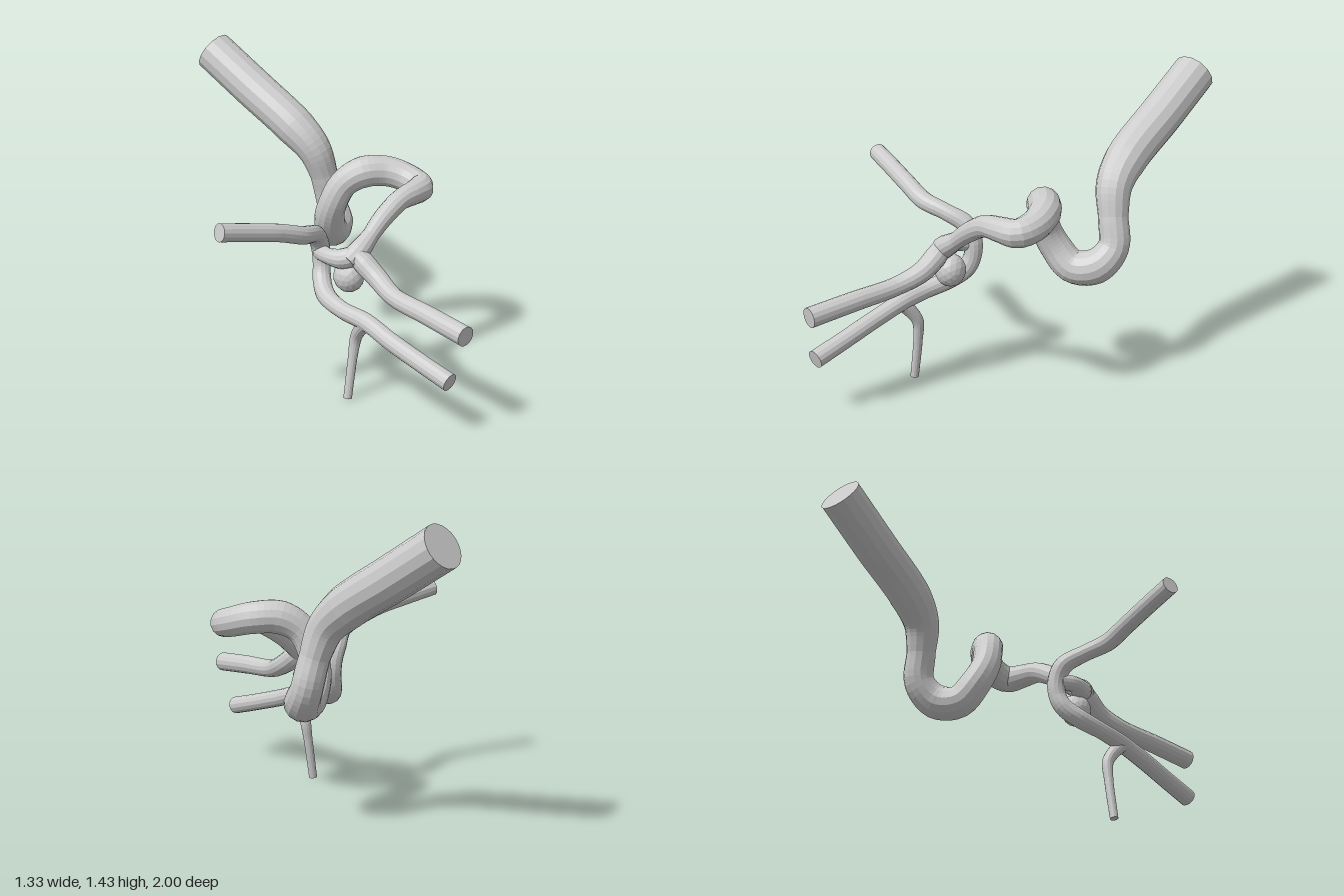
import * as THREE from 'three';

const material = new THREE.MeshStandardMaterial({ color: 0xcccccc, flatShading: true });

// Vessel swept through [x, y, z, radius] stations, with flat end caps.
function vessel(name, stations, segments, sides = 14) {
  const group = new THREE.Group();
  group.name = name;
  const curve = new THREE.CatmullRomCurve3(
    stations.map(([x, y, z]) => new THREE.Vector3(x, y, z)), false, 'centripetal');
  const last = stations.length - 1;
  const radiusAt = (t) => {
    const i = Math.min(Math.floor(t * last), last - 1);
    return THREE.MathUtils.lerp(stations[i][3], stations[i + 1][3], t * last - i);
  };

  const geometry = new THREE.TubeGeometry(curve, segments, 1, sides, false);
  const pos = geometry.attributes.position;
  const v = new THREE.Vector3();
  for (let i = 0; i <= segments; i++) {
    const u = i / segments;
    const centre = curve.getPointAt(u);
    const r = radiusAt(curve.getUtoTmapping(u));
    for (let j = 0; j <= sides; j++) {
      const k = i * (sides + 1) + j;
      v.fromBufferAttribute(pos, k).sub(centre).multiplyScalar(r).add(centre);
      pos.setXYZ(k, v.x, v.y, v.z);
    }
  }
  geometry.computeVertexNormals();
  const wall = new THREE.Mesh(geometry, material);
  wall.name = name + 'Wall';
  group.add(wall);

  for (const u of [0, 1]) {
    const cap = new THREE.Mesh(new THREE.CircleGeometry(stations[u * last][3], 24), material);
    cap.name = name + 'Cap';
    const outward = curve.getTangentAt(u).multiplyScalar(u ? 1 : -1);
    cap.quaternion.setFromUnitVectors(new THREE.Vector3(0, 0, 1), outward);
    cap.position.copy(curve.getPointAt(u));
    group.add(cap);
  }
  return group;
}

export function createModel() {
  const model = new THREE.Group();
  model.name = 'vesselTree';

  // Wide inlet, double bend and tapering run to the junction
  model.add(vessel('mainVessel', [
    [0.515, 1.34, -0.94, 0.103], [0.515, 1.19, -0.69, 0.103], [0.515, 1.03, -0.42, 0.1],
    [0.53, 0.93, -0.315, 0.085], [0.56, 0.8, -0.275, 0.07], [0.585, 0.66, -0.25, 0.073],
    [0.54, 0.575, -0.18, 0.083], [0.44, 0.565, -0.13, 0.08], [0.365, 0.65, -0.1, 0.075],
    [0.335, 0.75, -0.06, 0.07], [0.36, 0.86, -0.01, 0.07], [0.42, 0.915, 0.06, 0.078],
    [0.5, 0.915, 0.15, 0.075], [0.53, 0.89, 0.25, 0.07], [0.505, 0.87, 0.335, 0.066],
    [0.42, 0.87, 0.35, 0.058], [0.32, 0.86, 0.34, 0.05], [0.2, 0.795, 0.32, 0.046],
    [0.12, 0.735, 0.31, 0.04], [0.03, 0.675, 0.3, 0.055], [-0.01, 0.64, 0.28, 0.045],
  ], 110));

  // Upper forward branch
  model.add(vessel('upperFrontBranch', [
    [0.02, 0.68, 0.29, 0.045], [0.02, 0.635, 0.35, 0.052], [0.01, 0.585, 0.43, 0.048],
    [-0.035, 0.54, 0.55, 0.043], [-0.085, 0.52, 0.77, 0.046], [-0.135, 0.498, 0.995, 0.047],
  ], 40));

  // Side arm that curls down behind the junction and runs forward again
  model.add(vessel('sideAndLowerBranch', [
    [-0.655, 0.927, 0.038, 0.042], [-0.5, 0.892, 0.09, 0.042], [-0.35, 0.855, 0.14, 0.042],
    [-0.22, 0.81, 0.168, 0.043], [-0.1, 0.775, 0.145, 0.04], [-0.01, 0.72, 0.1, 0.045],
    [0.025, 0.65, 0.095, 0.045], [0.025, 0.57, 0.1, 0.042], [0.0, 0.51, 0.12, 0.045],
    [-0.05, 0.46, 0.18, 0.045], [-0.09, 0.43, 0.3, 0.04], [-0.105, 0.41, 0.45, 0.042],
    [-0.13, 0.365, 0.6, 0.042], [-0.148, 0.316, 0.77, 0.042], [-0.165, 0.27, 0.94, 0.043],
  ], 100));

  // Short link between the junction and the curled branch
  model.add(vessel('connector', [
    [0.03, 0.67, 0.31, 0.05], [-0.01, 0.645, 0.24, 0.048],
    [-0.02, 0.645, 0.17, 0.038], [0.015, 0.64, 0.1, 0.04],
  ], 16));

  // Thin downward branch
  model.add(vessel('lowerTwig', [
    [-0.11, 0.41, 0.45, 0.035], [-0.09, 0.36, 0.405, 0.032], [-0.075, 0.3, 0.37, 0.028],
    [-0.085, 0.2, 0.36, 0.022], [-0.115, 0.002, 0.355, 0.02],
  ], 30));

  // Rounded bulge under the junction
  const bulge = new THREE.Mesh(new THREE.IcosahedronGeometry(0.075, 2), material);
  bulge.name = 'bulge';
  bulge.scale.set(0.95, 1.05, 1);
  bulge.position.set(0.028, 0.55, 0.255);
  model.add(bulge);

  return model;
}
